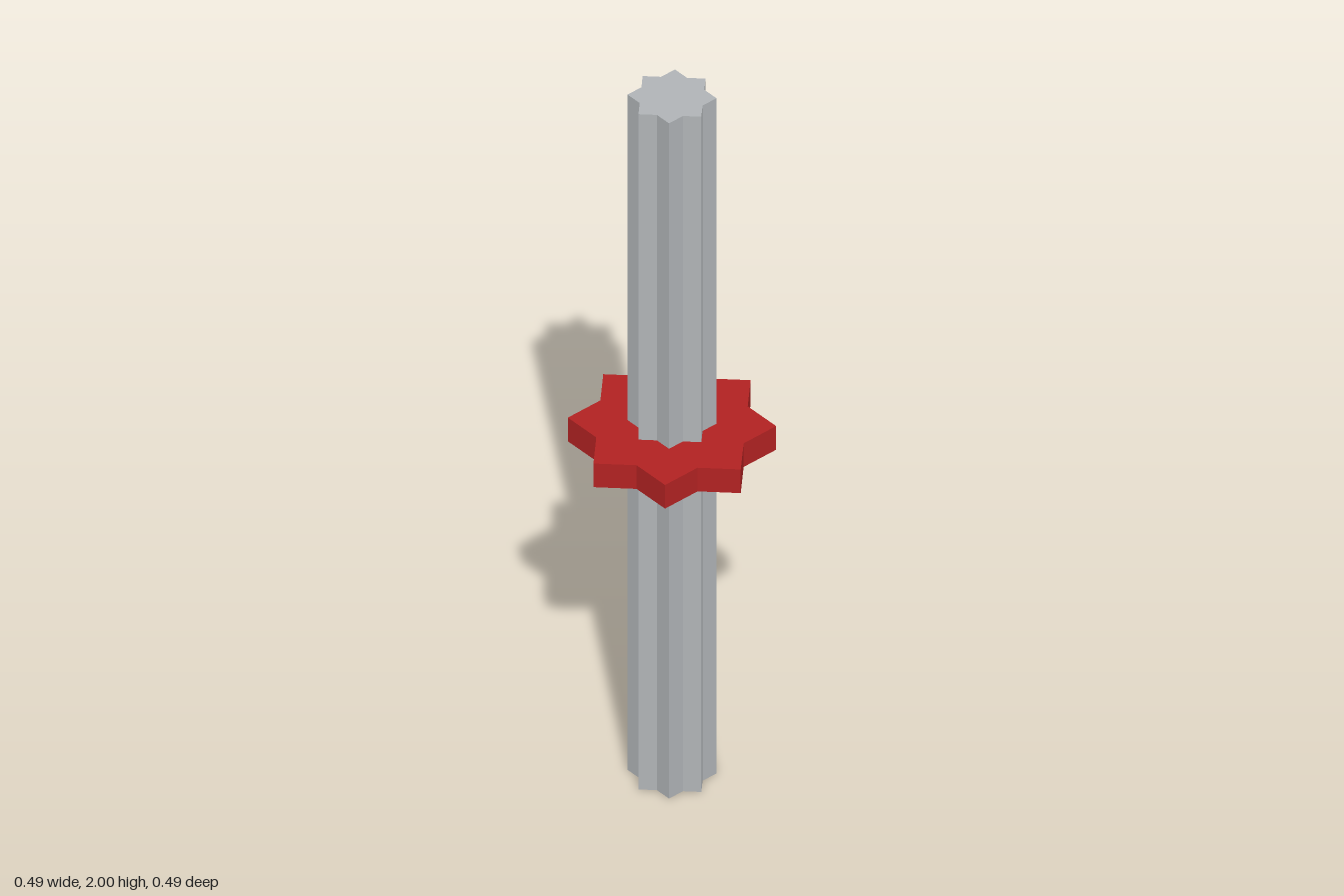
import * as THREE from 'three';

// Eight-pointed star outline: two equal squares crossed at 45 degrees
function starPoints(radius) {
  const inner = radius * Math.SQRT1_2 / Math.cos(Math.PI / 8);
  return Array.from({ length: 16 }, (_, i) => {
    const r = i % 2 ? inner : radius;
    const a = (i * Math.PI) / 8;
    return new THREE.Vector2(r * Math.cos(a), r * Math.sin(a));
  });
}

// Upright star prism, with an optional star-shaped hole
function starPrism(name, material, radius, bottom, height, holeRadius) {
  const shape = new THREE.Shape(starPoints(radius));
  if (holeRadius) shape.holes.push(new THREE.Path(starPoints(holeRadius).reverse()));
  const geometry = new THREE.ExtrudeGeometry(shape, { depth: height, bevelEnabled: false });
  geometry.rotateX(-Math.PI / 2);
  geometry.translate(0, bottom, 0);
  const mesh = new THREE.Mesh(geometry, material);
  mesh.name = name;
  return mesh;
}

export function createModel() {
  const steel = new THREE.MeshStandardMaterial({ color: 0xb0b4b7 });
  steel.name = 'steel grey';
  const red = new THREE.MeshStandardMaterial({ color: 0xb22222 });
  red.name = 'collar red';

  const model = new THREE.Group();
  model.name = 'starRodWithCollar';

  // Long fluted rod and the flat collar around its middle
  const rodRadius = 0.105;
  model.add(starPrism('rod', steel, rodRadius, 0, 2));
  model.add(starPrism('collar', red, 0.246, 0.966, 0.07, rodRadius));
  return model;
}
